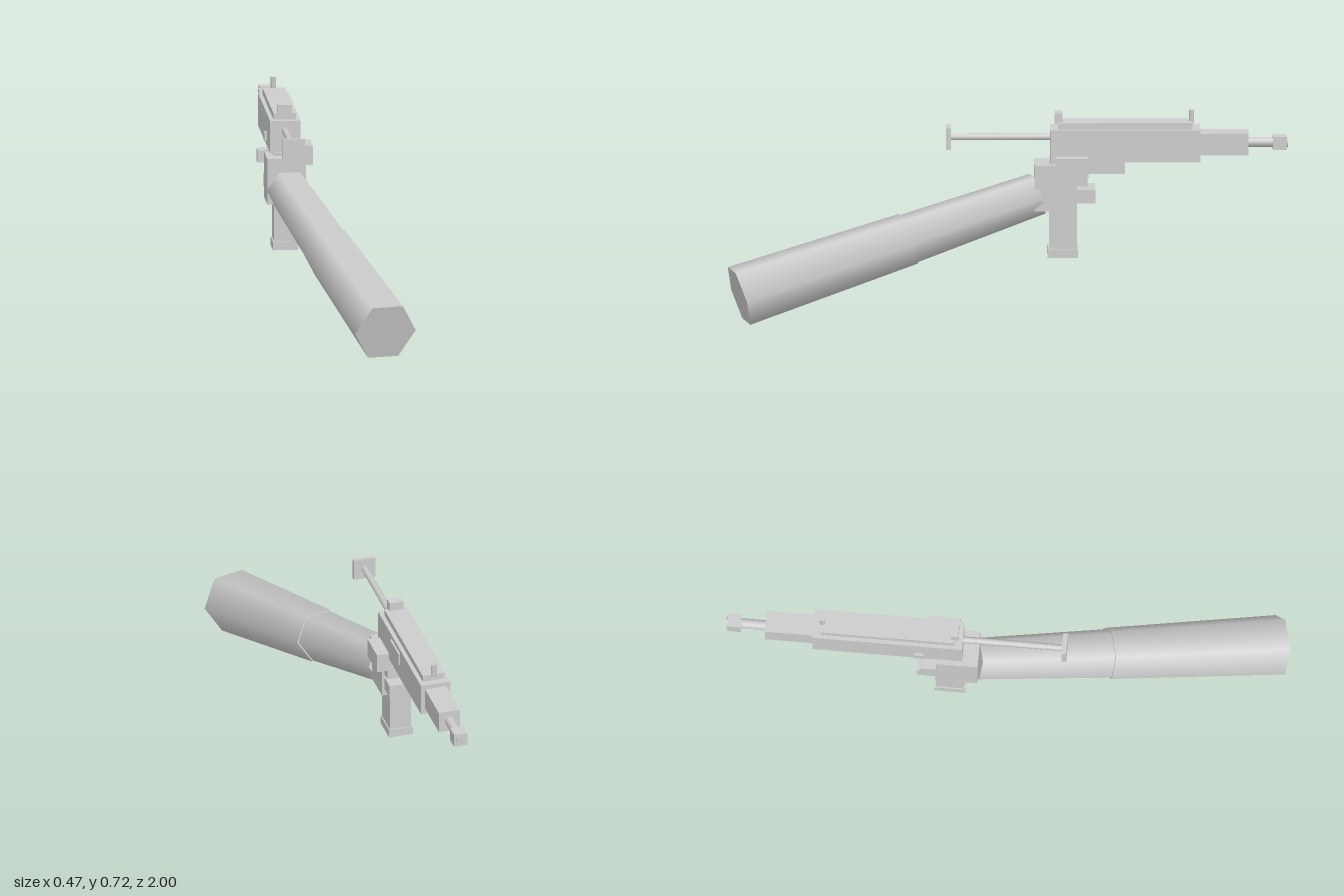
import * as THREE from 'three';

export function createModel() {
  const model = new THREE.Group();
  const grey = new THREE.MeshStandardMaterial({ color: 0xcccccc });
  grey.name = 'light grey';
  const cx = -0.146; // centre line of the weapon

  function add(parent, name, geometry) {
    const mesh = new THREE.Mesh(geometry, grey);
    mesh.name = name;
    parent.add(mesh);
    return mesh;
  }

  // Box given by its limits on each axis
  function box(parent, name, [x0, x1], [y0, y1], [z0, z1]) {
    const mesh = add(parent, name, new THREE.BoxGeometry(x1 - x0, y1 - y0, z1 - z0));
    mesh.position.set((x0 + x1) / 2, (y0 + y1) / 2, (z0 + z1) / 2);
  }

  // Tapered rod between two points; six-sided rods keep a flat side on top
  function rod(parent, name, a, b, ra, rb, sides) {
    const from = new THREE.Vector3(...a), to = new THREE.Vector3(...b);
    const geometry = new THREE.CylinderGeometry(rb, ra, from.distanceTo(to), sides);
    geometry.rotateY(Math.PI / 6).rotateX(Math.PI / 2);
    const mesh = add(parent, name, geometry);
    mesh.position.copy(from).lerp(to, 0.5);
    mesh.lookAt(to);
  }

  // Weapon body and sights
  const gun = new THREE.Group();
  gun.name = 'weapon';
  const mid = [-0.185, -0.105];
  box(gun, 'receiver', [-0.199, -0.09], [0.537, 0.655], [-0.686, -0.15]);
  box(gun, 'topCover', mid, [0.65, 0.678], [-0.658, -0.178]);
  box(gun, 'rearSight', [-0.171, -0.119], [0.672, 0.71], [-0.194, -0.166]);
  rod(gun, 'frontSight', [cx, 0.67, -0.655], [cx, 0.718, -0.655], 0.01, 0.01, 8);
  box(gun, 'ejectionPort', [-0.092, -0.083], [0.592, 0.639], [-0.425, -0.32]);
  box(gun, 'selector', [-0.209, -0.198], [0.556, 0.587], [-0.32, -0.288]);

  // Barrel
  box(gun, 'barrelShroud', mid, [0.56, 0.639], [-0.858, -0.68]);
  rod(gun, 'barrel', [cx, 0.6, -0.85], [cx, 0.6, -1], 0.018, 0.018, 12);
  box(gun, 'muzzle', [-0.171, -0.121], [0.575, 0.624], [-0.995, -0.945]);

  // Stock
  rod(gun, 'stockRod', [cx, 0.62, -0.16], [cx, 0.62, 0.21], 0.012, 0.012, 8);
  box(gun, 'buttPlate', mid, [0.581, 0.66], [0.205, 0.222]);

  // Grip
  box(gun, 'grip', mid, [0.21, 0.54], [-0.245, -0.146]);
  box(gun, 'gripBase', [-0.19, -0.101], [0.187, 0.217], [-0.25, -0.14]);
  model.add(gun);

  // Hand
  const hand = new THREE.Group();
  hand.name = 'hand';
  box(hand, 'palm', [-0.214, -0.076], [0.363, 0.528], [-0.245, -0.093]);
  box(hand, 'thumb', [-0.1, -0.045], [0.49, 0.56], [-0.287, -0.168]);
  box(hand, 'knuckle', [-0.237, -0.195], [0.487, 0.532], [-0.297, -0.24]);
  box(hand, 'indexFinger', [-0.168, -0.124], [0.488, 0.53], [-0.417, -0.24]);
  box(hand, 'middleFinger', [-0.21, -0.085], [0.452, 0.5], [-0.283, -0.24]);
  box(hand, 'ringFinger', [-0.21, -0.085], [0.39, 0.438], [-0.311, -0.24]);
  model.add(hand);

  // Arm
  const wrist = [-0.14, 0.414, -0.105], elbow = [-0.028, 0.274, 0.357], shoulder = [0.123, 0.098, 0.963];
  rod(model, 'forearm', wrist, elbow, 0.079, 0.093, 6);
  rod(model, 'upperArm', elbow, shoulder, 0.098, 0.114, 6);

  return model;
}
